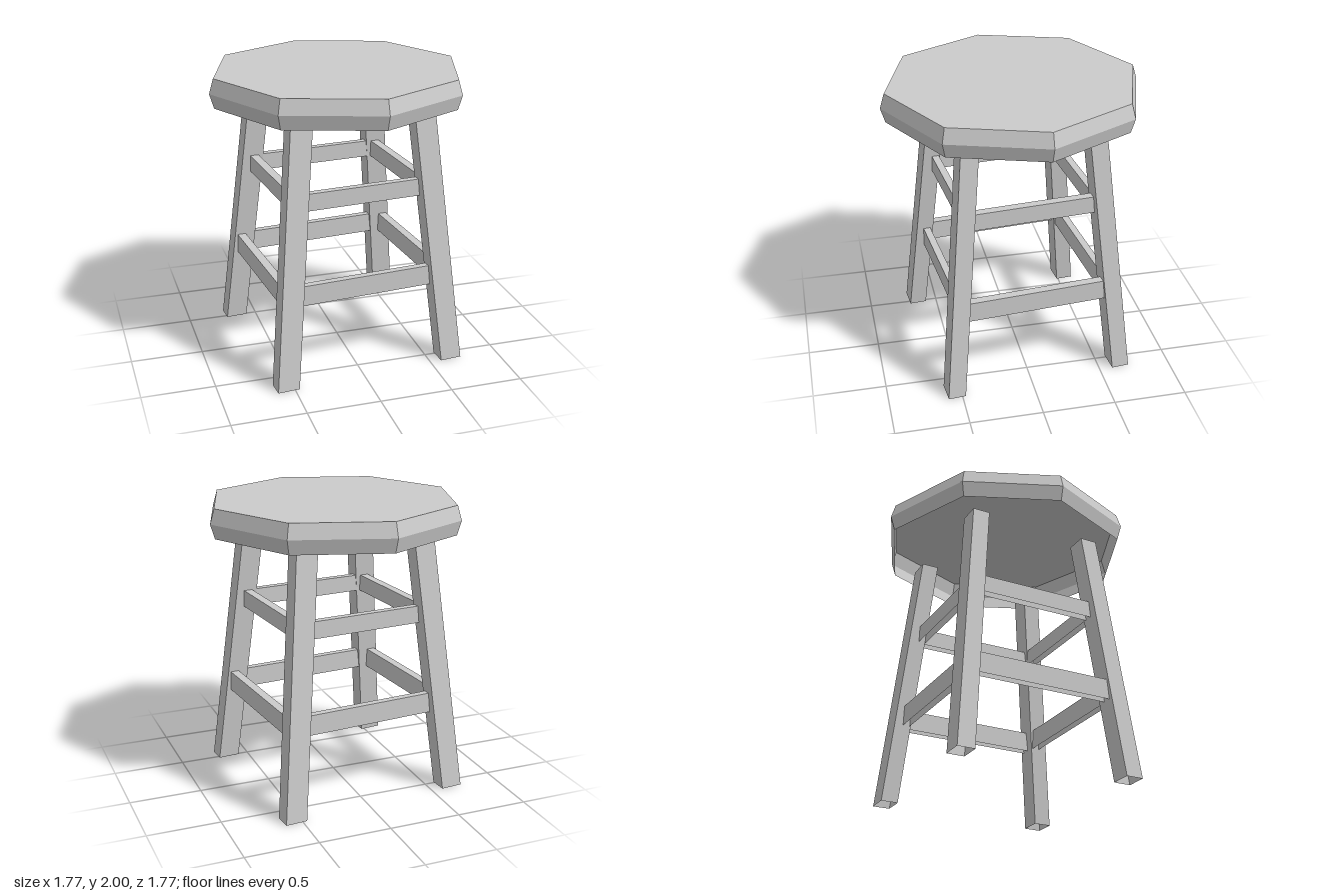
import * as THREE from 'three';

const material = new THREE.MeshStandardMaterial({ color: 0xcccccc, flatShading: true, side: THREE.DoubleSide });

const SEAT_BOTTOM = 1.8;
const LEG = { x: 0.677, z: 0.657, width: 0.15, depth: 0.12, leanX: 0.175, leanZ: 0.172 };

// Order of the faces in a box geometry
const FACES = ['+x', '-x', '+y', '-y', '+z', '-z'];

function addMesh(parent, name, geometry) {
  const mesh = new THREE.Mesh(geometry, material);
  mesh.name = name;
  parent.add(mesh);
  return mesh;
}

// Box without the listed faces
function openBox(width, height, depth, ...missing) {
  const geometry = new THREE.BoxGeometry(width, height, depth);
  const index = Array.from(geometry.index.array)
    .filter((_, i) => !missing.includes(FACES[Math.floor(i / 6)]));
  geometry.setIndex(index);
  geometry.clearGroups();
  return geometry;
}

// Octagonal seat with a bevelled rim, hollow underneath
function seatGeometry() {
  const profile = [[0.856, SEAT_BOTTOM], [0.886, 1.9], [0.856, 2], [0, 2]]
    .map(([r, y]) => new THREE.Vector2(r, y));
  const geometry = new THREE.LatheGeometry(profile, 8).toNonIndexed();
  geometry.computeVertexNormals();
  return geometry;
}

// Open-ended square leg, sheared inwards towards the seat
function legGeometry(sideX, sideZ) {
  const geometry = openBox(LEG.width, SEAT_BOTTOM, LEG.depth, '+y', '-y');
  geometry.translate(
    sideX * (LEG.x - LEG.width / 2),
    SEAT_BOTTOM / 2,
    sideZ * (LEG.z - LEG.depth / 2)
  );
  const p = geometry.attributes.position;
  for (let i = 0; i < p.count; i++) {
    const t = p.getY(i) / SEAT_BOTTOM;
    p.setX(i, p.getX(i) - sideX * LEG.leanX * t);
    p.setZ(i, p.getZ(i) - sideZ * LEG.leanZ * t);
  }
  geometry.computeVertexNormals();
  return geometry;
}

// Two tiers of stretchers: height range and the outer faces of the bars
const TIERS = [
  { name: 'lower', y0: 0.55, y1: 0.69, frontZ: 0.542, sideX: 0.592 },
  { name: 'upper', y0: 1.187, y1: 1.305, frontZ: 0.471, sideX: 0.496 },
];

export function createModel() {
  const model = new THREE.Group();
  model.name = 'stool';

  addMesh(model, 'seat', seatGeometry()).rotation.y = THREE.MathUtils.degToRad(4.6);

  // Legs and stretchers share one slightly turned frame
  const frame = new THREE.Group();
  frame.name = 'frame';
  frame.rotation.y = THREE.MathUtils.degToRad(4.9);
  model.add(frame);

  for (const sx of [-1, 1]) {
    for (const sz of [-1, 1]) {
      const name = (sz > 0 ? 'front' : 'back') + (sx > 0 ? 'Left' : 'Right') + 'Leg';
      addMesh(frame, name, legGeometry(sx, sz));
    }
  }

  const frontThickness = 0.05, sideThickness = 0.06, tuck = 0.02;
  for (const tier of TIERS) {
    const height = tier.y1 - tier.y0;
    const y = (tier.y0 + tier.y1) / 2;
    const t = y / SEAT_BOTTOM;
    // Bars are open below and reach just inside the inner faces of the legs
    const halfX = LEG.x - LEG.width - LEG.leanX * t + tuck;
    const halfZ = LEG.z - LEG.depth - LEG.leanZ * t + tuck;
    for (const s of [-1, 1]) {
      const cross = addMesh(frame, tier.name + (s > 0 ? 'Front' : 'Back') + 'Stretcher',
        openBox(halfX * 2, height, frontThickness, '-y', '+x', '-x'));
      cross.position.set(0, y, s * (tier.frontZ - frontThickness / 2));

      const side = addMesh(frame, tier.name + (s > 0 ? 'Left' : 'Right') + 'Stretcher',
        openBox(sideThickness, height, halfZ * 2, '-y', '+z', '-z'));
      side.position.set(s * (tier.sideX - sideThickness / 2), y, 0);
    }
  }

  return model;
}
